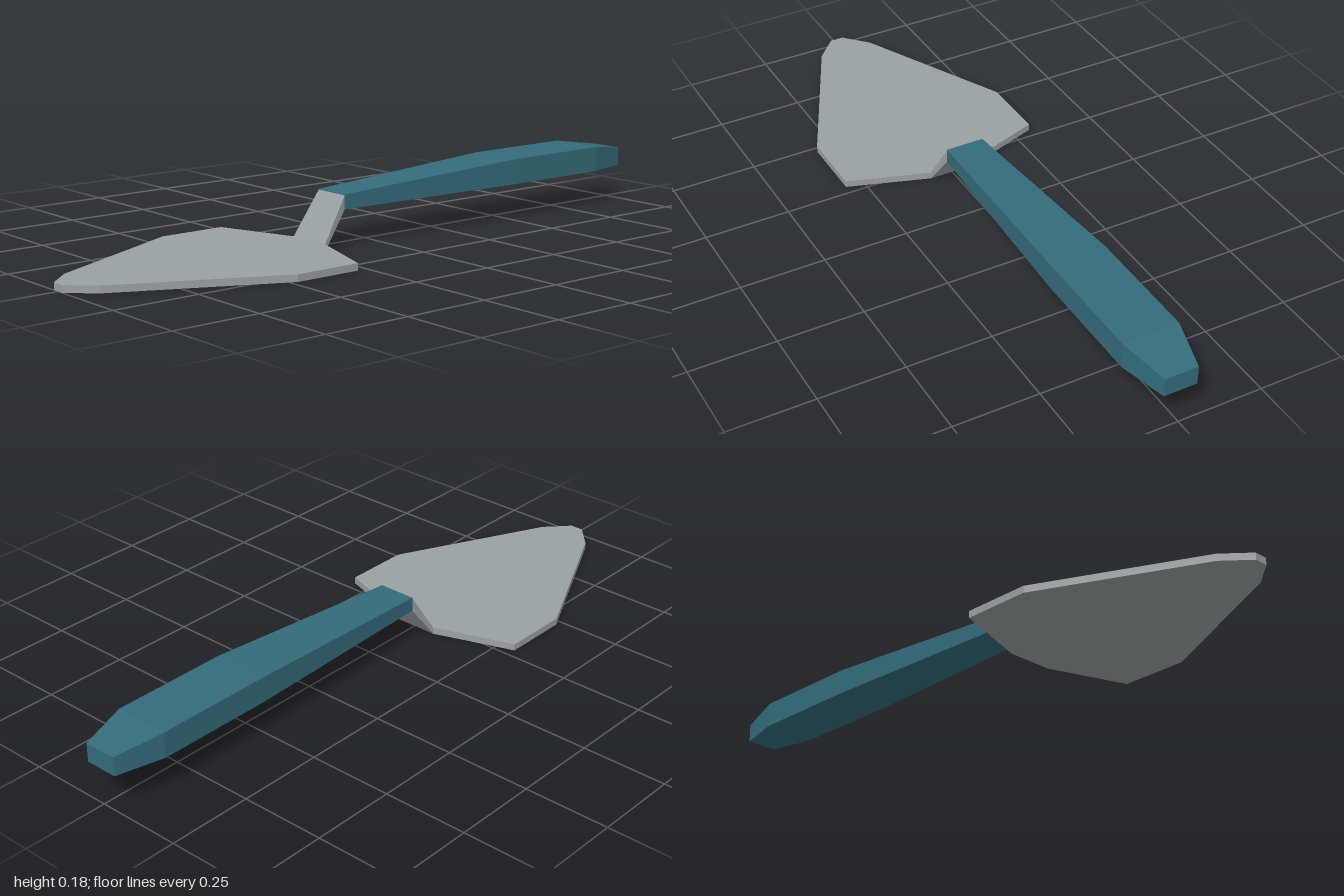
import * as THREE from 'three';

// Lofts rectangular sections [x, bottom, top, halfWidth] along x, with flat capped ends.
function loft(name, sections, material) {
  const positions = [];
  const rings = sections.map(([x, bottom, top, w]) => [
    [x, bottom, w], [x, top, w], [x, top, -w], [x, bottom, -w],
  ]);
  const quad = (a, b, c, d) => positions.push(...a, ...b, ...c, ...a, ...c, ...d);
  for (let i = 0; i < rings.length - 1; i++) {
    const r = rings[i], s = rings[i + 1];
    for (let k = 0; k < 4; k++) {
      const n = (k + 1) % 4;
      quad(r[k], s[k], s[n], r[n]);
    }
  }
  const first = rings[0], last = rings[rings.length - 1];
  quad(first[0], first[1], first[2], first[3]);
  quad(last[3], last[2], last[1], last[0]);

  const geometry = new THREE.BufferGeometry();
  geometry.setAttribute('position', new THREE.Float32BufferAttribute(positions, 3));
  geometry.computeVertexNormals(); // unshared corners give flat faces
  const mesh = new THREE.Mesh(geometry, material);
  mesh.name = name;
  return mesh;
}

export function createModel() {
  const steel = new THREE.MeshStandardMaterial({ color: 0x9aa1a4 });
  steel.name = 'steel grey';
  const teal = new THREE.MeshStandardMaterial({ color: 0x346c7a });
  teal.name = 'handle teal';

  const model = new THREE.Group();
  model.name = 'trowel';

  // Flat pointed blade
  model.add(loft('blade', [
    [-1, 0, 0.02, 0.02],
    [-0.93, 0, 0.02, 0.085],
    [-0.48, 0, 0.02, 0.305],
    [-0.28, 0, 0.02, 0.305],
    [-0.2, 0, 0.02, 0.07],
  ], steel));

  // Sloping neck from blade up to handle
  model.add(loft('neck', [
    [-0.2, 0, 0.02, 0.07],
    [-0.12, 0.105, 0.145, 0.057],
  ], steel));

  // Swelling handle with a tapered butt
  model.add(loft('handle', [
    [-0.12, 0.105, 0.147, 0.057],
    [0.51, 0.105, 0.18, 0.083],
    [0.86, 0.105, 0.18, 0.083],
    [1, 0.105, 0.16, 0.049],
  ], teal));

  return model;
}
